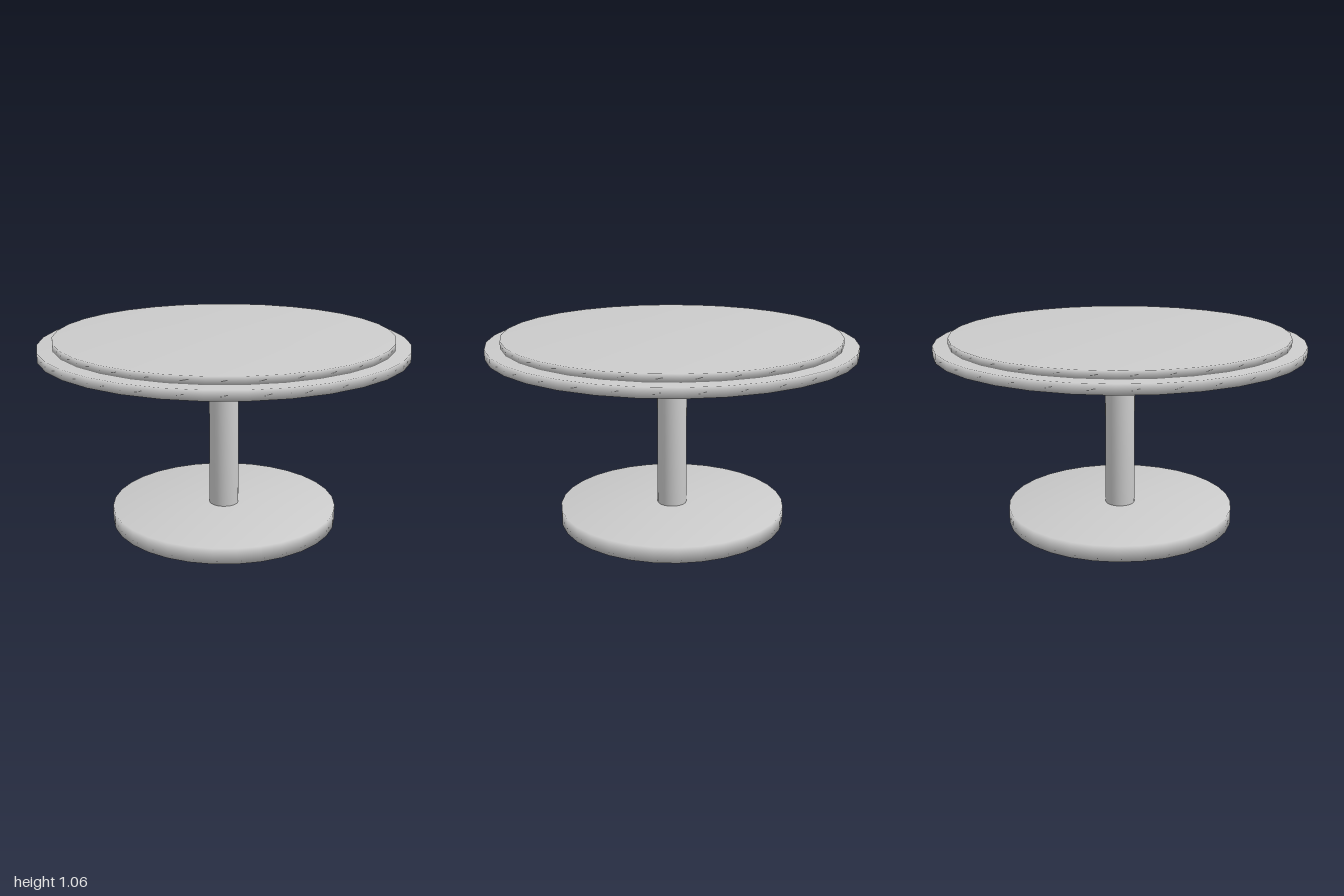
import * as THREE from 'three';
import { mergeVertices } from 'three/addons/utils/BufferGeometryUtils.js';

const material = new THREE.MeshStandardMaterial({ color: 0xcccccc });

// A 32-sided disc or post between two heights, with normals smoothed over its rims
function disc(name, radius, bottom, top) {
  const cylinder = new THREE.CylinderGeometry(radius, radius, top - bottom, 32);
  cylinder.deleteAttribute('normal');
  cylinder.deleteAttribute('uv');
  const geometry = mergeVertices(cylinder);
  geometry.computeVertexNormals();
  const mesh = new THREE.Mesh(geometry, material);
  mesh.name = name;
  mesh.position.y = (bottom + top) / 2;
  return mesh;
}

export function createModel() {
  const table = new THREE.Group();
  table.name = 'roundPedestalTable';
  table.add(
    disc('base', 0.63, 0, 0.087),
    disc('post', 0.082, 0.087, 0.97),
    disc('tableTop', 1, 0.97, 1.022),
    disc('raisedTopPanel', 0.918, 1.022, 1.062),
  );
  return table;
}
